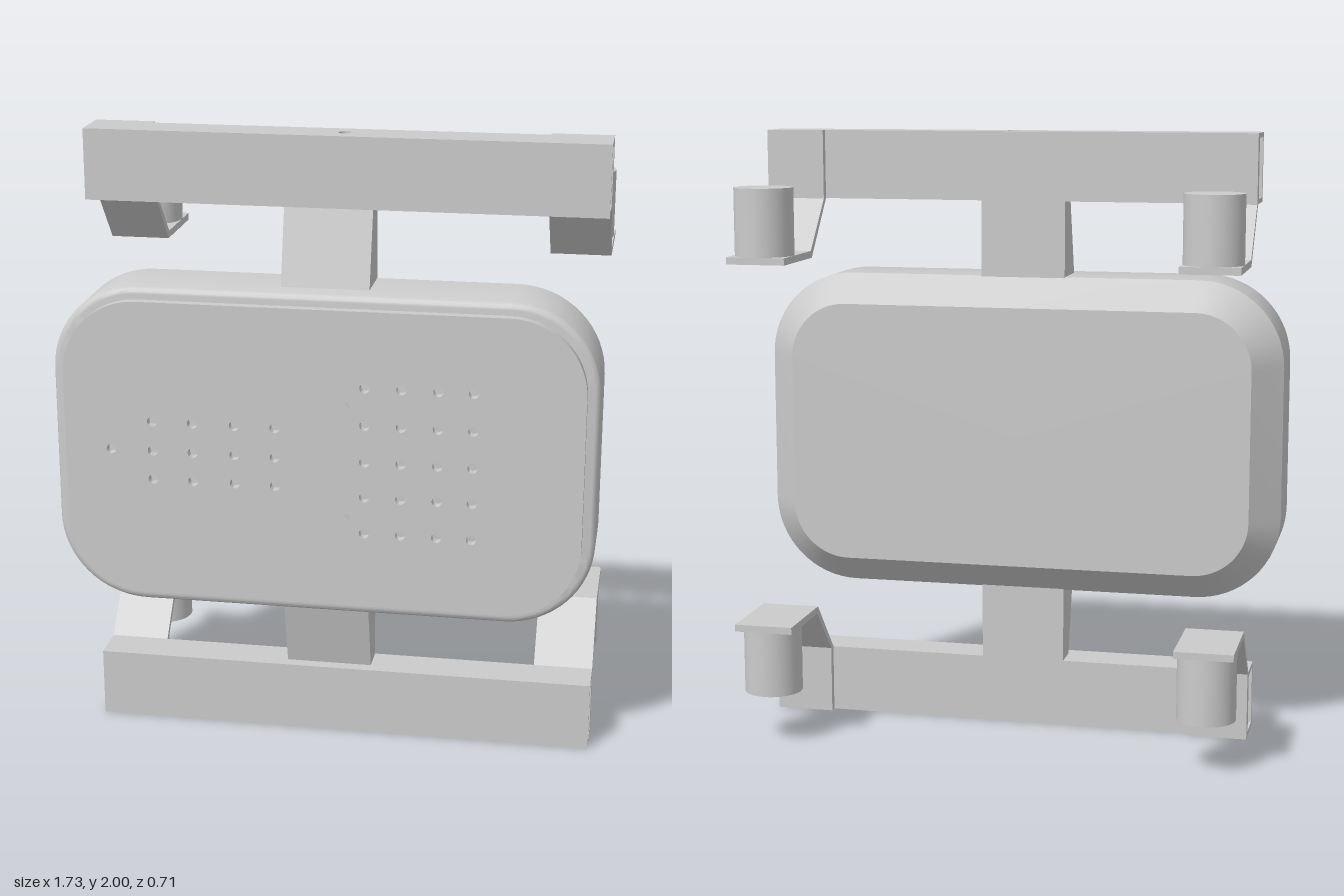
import * as THREE from 'three';
import { toCreasedNormals } from 'three/addons/utils/BufferGeometryUtils.js';

const material = new THREE.MeshStandardMaterial({ color: 0xcccccc });
const HALF_W = 0.865, HALF_H = 0.5275, RADIUS = 0.28, MID_Y = 1.0;

function addMesh(parent, name, geometry) {
  const mesh = new THREE.Mesh(geometry, material);
  mesh.name = name;
  parent.add(mesh);
  return mesh;
}

// Rounded rectangle outline, counter-clockwise; shrinking keeps the corner centres
function outline(inset, steps = 16) {
  const pts = [], r = RADIUS - inset;
  const corners = [[1, 1], [-1, 1], [-1, -1], [1, -1]];
  corners.forEach(([sx, sy], q) => {
    for (let i = 0; i <= steps; i++) {
      const a = (q + i / steps) * Math.PI / 2;
      pts.push(new THREE.Vector2(
        sx * (HALF_W - RADIUS) + r * Math.cos(a),
        MID_Y + sy * (HALF_H - RADIUS) + r * Math.sin(a)));
    }
  });
  return pts;
}

// Closed shell through [z, inset] sections, ordered back to front
function shell(sections) {
  const pos = [], idx = [];
  const rings = sections.map(([z, inset]) => outline(inset).map(p => [p.x, p.y, z]));
  const n = rings[0].length;
  rings.forEach(ring => ring.forEach(p => pos.push(...p)));
  for (let k = 0; k < rings.length - 1; k++) {
    for (let i = 0; i < n; i++) {
      const a = k * n + i, b = k * n + (i + 1) % n;
      idx.push(a, b, b + n, a, b + n, a + n);
    }
  }
  const back = pos.length / 3, front = back + 1, last = (rings.length - 1) * n;
  pos.push(0, MID_Y, sections[0][0], 0, MID_Y, sections[sections.length - 1][0]);
  for (let i = 0; i < n; i++) {
    const j = (i + 1) % n;
    idx.push(back, j, i, front, last + i, last + j);
  }
  const g = new THREE.BufferGeometry();
  g.setAttribute('position', new THREE.Float32BufferAttribute(pos, 3));
  g.setIndex(idx);
  return toCreasedNormals(g, 0.5);
}

function circlePath(x, y, r) {
  const path = new THREE.Path();
  path.absarc(x, y, r, 0, Math.PI * 2, true);
  return path;
}

// Side profile of [z, y] points, extruded along x
function sideExtrude(points, x0, x1) {
  const shape = new THREE.Shape(points.map(([z, y]) => new THREE.Vector2(-z, y)));
  return new THREE.ExtrudeGeometry(shape, { depth: x1 - x0, bevelEnabled: false })
    .rotateY(Math.PI / 2).translate(x0, 0, 0);
}

function box(x0, x1, y0, y1, z0, z1) {
  return new THREE.BoxGeometry(x1 - x0, Math.abs(y1 - y0), z1 - z0)
    .translate((x0 + x1) / 2, (y0 + y1) / 2, (z0 + z1) / 2);
}

// Front cover with its perforations
function coverGeometry() {
  const shape = new THREE.Shape(outline(0.04));
  const spots = [[-0.675, 1.0]];
  for (const x of [-0.54, -0.41, -0.275, -0.145])
    for (const y of [1.097, 1.0, 0.905]) spots.push([x, y]);
  for (const x of [0.14, 0.255, 0.37, 0.48])
    for (const y of [1.243, 1.121, 1.0, 0.883, 0.762]) spots.push([x, y]);
  for (const [x, y] of spots) shape.holes.push(circlePath(x, y, 0.016));
  // Tiny notches beside the right-hand grid
  for (const y of [1.185, 0.815]) {
    shape.holes.push(new THREE.Path([
      new THREE.Vector2(0.07, y + 0.01),
      new THREE.Vector2(0.095, y + 0.01),
      new THREE.Vector2(0.095, y - 0.012)]));
  }
  const g = new THREE.ExtrudeGeometry(shape, { depth: 0.032, bevelEnabled: false, curveSegments: 10 });
  return toCreasedNormals(g.translate(0, 0, 0.323), 0.7);
}

// Rail, strut, brackets and rollers; s = 1 for the upper set, -1 for the lower
function railAssembly(s) {
  const group = new THREE.Group();
  const Y = d => MID_Y + s * d;
  const x0 = -0.77, x1 = 0.865, zb = 0.087, zf = 0.22, t = 0.016;

  // Hollow rectangular rail, outer wall drilled
  const wall = new THREE.Shape([
    new THREE.Vector2(x0, -zf), new THREE.Vector2(x1, -zf),
    new THREE.Vector2(x1, -zb), new THREE.Vector2(x0, -zb)]);
  wall.holes.push(circlePath(0.045, -0.153, 0.02));
  const outer = new THREE.ExtrudeGeometry(wall, { depth: t, bevelEnabled: false })
    .rotateX(-Math.PI / 2).translate(0, s > 0 ? 2 - t : 0, 0);
  const rail = new THREE.Group();
  rail.name = 'rail';
  addMesh(rail, 'railOuterWall', outer);
  addMesh(rail, 'railInnerWall', box(x0, x1, Y(0.775), Y(0.775 + t), zb, zf));
  addMesh(rail, 'railFrontWall', box(x0, x1, Y(0.775 + t), Y(1 - t), zf - t, zf));
  addMesh(rail, 'railBackWall', box(x0, x1, Y(0.775 + t), Y(1 - t), zb, zb + t));
  group.add(rail);

  // Tapered strut from the housing to the rail
  addMesh(group, 'strut', sideExtrude(
    [[zb, Y(0.5)], [0.255, Y(0.5)], [0.18, Y(0.775)], [zb, Y(0.775)]], -0.142, 0.138));

  // Bent brackets, each carrying a roller
  const profile = [[0.087, 1], [0.063, 1], [0.063, 0.775], [-0.085, 0.613],
    [-0.355, 0.613], [-0.355, 0.59], [-0.075, 0.59], [0.087, 0.775]];
  for (const [a, b] of [[-0.77, -0.58], [0.672, 0.865]]) {
    addMesh(group, 'bracket', sideExtrude(profile.map(([z, d]) => [z, Y(d)]), a, b));
    const roller = addMesh(group, 'roller', new THREE.CylinderGeometry(0.095, 0.095, 0.22, 40));
    roller.position.set((a + b) / 2, Y(0.72), -0.26);
  }
  return group;
}

export function createModel() {
  const model = new THREE.Group();
  model.name = 'railMountedPanel';

  // Housing: chamfered back, straight sides, softly rounded front edge
  const sections = [[-0.006, 0.095], [0.09, 0], [0.302, 0]];
  for (let i = 1; i <= 5; i++) {
    const a = i / 5 * Math.PI / 2;
    sections.push([0.302 + 0.023 * Math.sin(a), 0.023 * (1 - Math.cos(a))]);
  }
  addMesh(model, 'housing', shell(sections));
  addMesh(model, 'frontCover', coverGeometry());

  for (const s of [1, -1]) {
    const assembly = railAssembly(s);
    assembly.name = s > 0 ? 'upperRailAssembly' : 'lowerRailAssembly';
    model.add(assembly);
  }
  return model;
}
